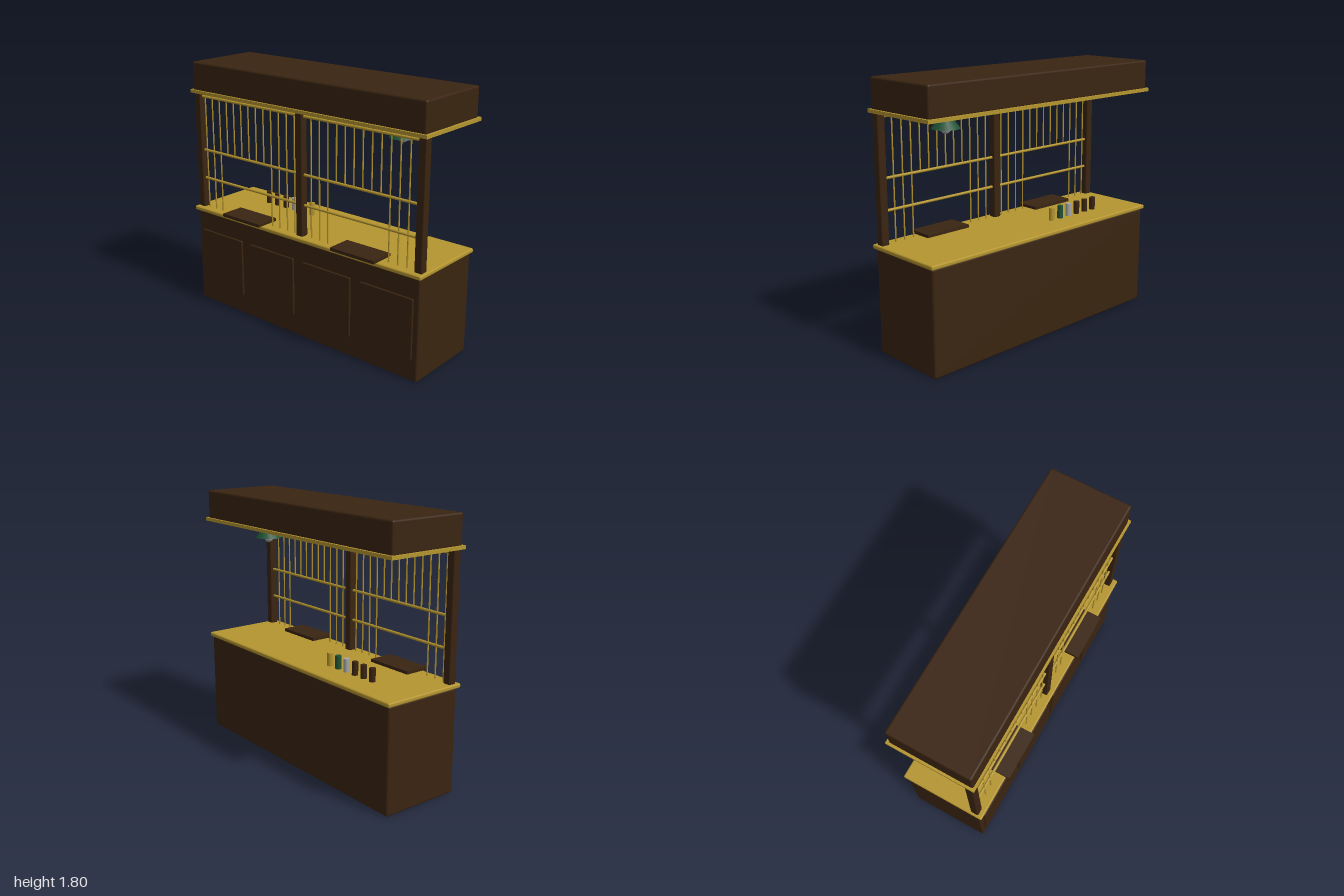
import * as THREE from 'three';
import { RoundedBoxGeometry } from 'three/addons/geometries/RoundedBoxGeometry.js';

function material(name, color) {
  const m = new THREE.MeshStandardMaterial({ color });
  m.name = name;
  return m;
}

export function createModel() {
  const wood = material('darkWood', 0x3a2411);
  const brass = material('brass', 0xb5952f);
  const green = material('greenEnamel', 0x1f5235);
  const grey = material('paleGrey', 0xa6a6a6);

  const model = new THREE.Group();
  model.name = 'tellerBooth';

  function add(name, geometry, mat, x, y, z) {
    const mesh = new THREE.Mesh(geometry, mat);
    mesh.name = name;
    mesh.position.set(x, y, z);
    model.add(mesh);
    return mesh;
  }
  // Box given by its extents; a bevel above zero softens the edges
  function block(name, mat, [x0, x1], [y0, y1], [z0, z1], bevel = 0) {
    const size = [x1 - x0, y1 - y0, z1 - z0];
    const geometry = bevel ? new RoundedBoxGeometry(...size, 2, bevel) : new THREE.BoxGeometry(...size);
    return add(name, geometry, mat, (x0 + x1) / 2, (y0 + y1) / 2, (z0 + z1) / 2);
  }

  // Counter cabinet, brass worktop, canopy and its trim
  block('cabinet', wood, [-0.985, 0.985], [0, 0.71], [-0.3, 0.265], 0.014);
  block('worktop', brass, [-1, 1], [0.708, 0.738], [-0.315, 0.288], 0.01);
  block('canopy', wood, [-0.985, 0.985], [1.595, 1.8], [-0.3, 0.265], 0.014);
  block('canopyTrim', brass, [-1, 1], [1.58, 1.603], [-0.315, 0.278]);

  // Raised front panels
  for (const x of [-0.738, -0.246, 0.246, 0.738]) {
    block('frontPanel', wood, [x - 0.205, x + 0.205], [0.145, 0.567], [0.25, 0.277], 0.006);
  }

  // Posts
  for (const x of [-0.957, 0, 0.957]) {
    block('post', wood, [x - 0.028, x + 0.028], [0.736, 1.582], [0.2, 0.256], 0.008);
  }

  // Horizontal brass rails in each bay
  const grilleZ = 0.228;
  for (const side of [-1, 1]) {
    for (const y of [0.955, 1.165, 1.555]) {
      const rail = add('rail', new THREE.CylinderGeometry(0.0095, 0.0095, 0.91, 10), brass, side * 0.48, y, grilleZ);
      rail.rotation.z = Math.PI / 2;
    }
  }

  // Grille bars, stopping short above the two service openings
  function bars(start, count, openingX) {
    for (let i = 0; i < count; i++) {
      const x = start + i * 0.0704;
      const bottom = Math.abs(x - openingX) < 0.21 ? 1.165 : 0.737;
      const height = 1.57 - bottom;
      add('grilleBar', new THREE.CylinderGeometry(0.005, 0.005, height, 8), brass, x, bottom + height / 2, grilleZ);
    }
  }
  bars(-0.904, 13, -0.495);
  bars(0.086, 12, 0.495);

  // Service trays
  for (const x of [-0.495, 0.495]) {
    block('serviceTray', wood, [x - 0.175, x + 0.175], [0.737, 0.759], [0.142, 0.317]);
  }

  // Row of small canisters on the worktop
  [wood, wood, wood, grey, green, brass].forEach((mat, i) => {
    add('canister', new THREE.CylinderGeometry(0.021, 0.021, 0.09, 12), mat, -0.634 + i * 0.0842, 0.782, -0.122);
  });

  // Lamp shade and bulb
  add('lampShade', new THREE.CylinderGeometry(0.03, 0.093, 0.085, 16), green, 0.632, 1.517, -0.017);
  add('lampBulb', new THREE.SphereGeometry(0.032, 16, 12), grey, 0.632, 1.472, -0.017);

  return model;
}
